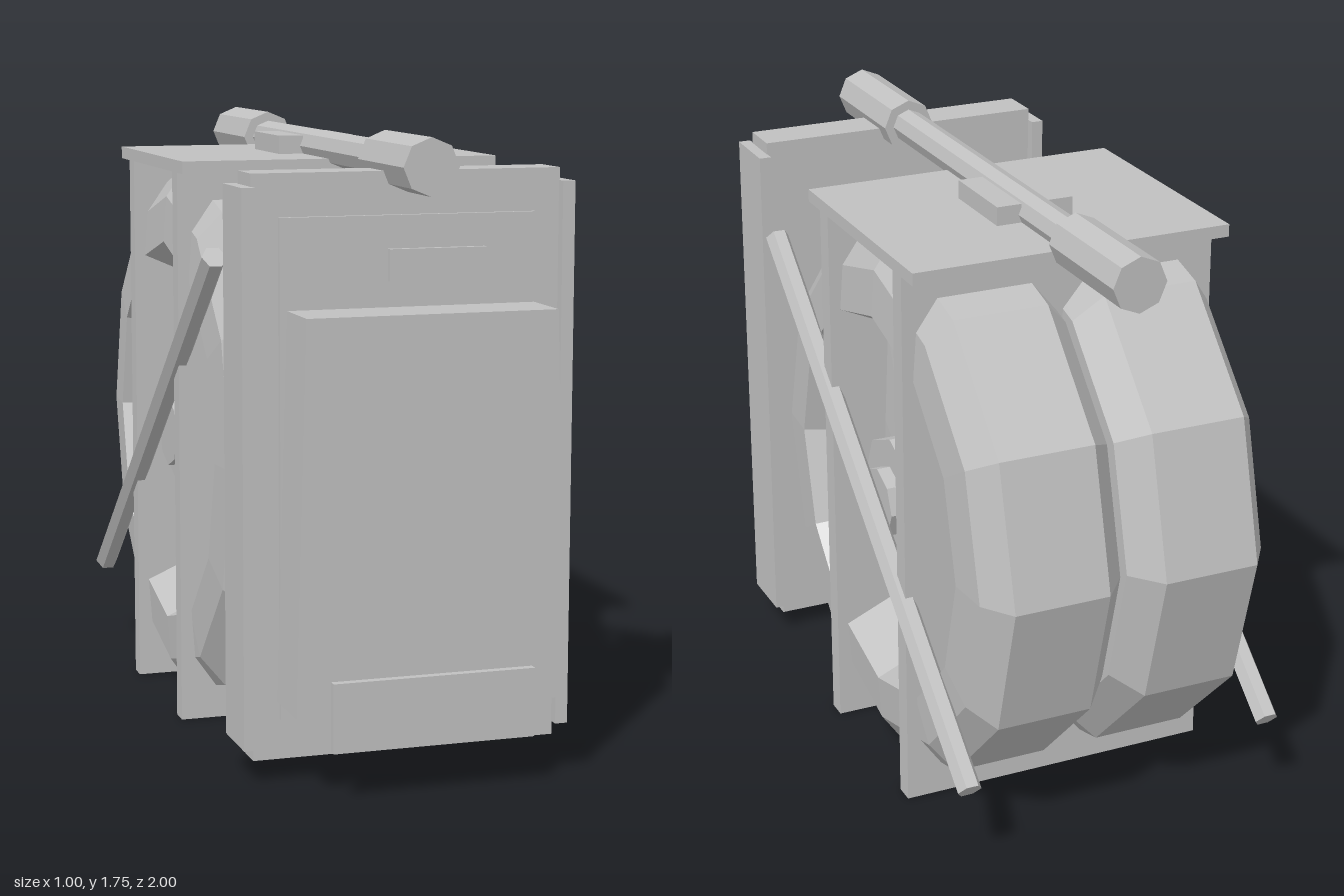
import * as THREE from 'three';

export function createModel() {
  const model = new THREE.Group();
  const grey = new THREE.MeshStandardMaterial({ color: 0xc0c0c0, flatShading: true });
  grey.name = 'grey';

  const add = (name, geometry) => {
    const mesh = new THREE.Mesh(geometry, grey);
    mesh.name = name;
    model.add(mesh);
    return mesh;
  };
  // Box given by its limits on each axis
  const box = (name, x0, x1, y0, y1, z0, z1) => {
    const mesh = add(name, new THREE.BoxGeometry(x1 - x0, y1 - y0, z1 - z0));
    mesh.position.set((x0 + x1) / 2, (y0 + y1) / 2, (z0 + z1) / 2);
    return mesh;
  };
  // Bar along z, centred on the carrying handle
  const bar = (name, radius, z0, z1) => {
    const mesh = add(name, new THREE.CylinderGeometry(radius, radius, z1 - z0, 8));
    mesh.rotation.x = Math.PI / 2;
    mesh.position.set(0, 1.677, (z0 + z1) / 2);
  };

  // Twin chamfered wheels with dished discs, as profiles of radius and x
  const wheelProfile = [
    [0, 0.01], [0.71, 0.01], [0.8, 0.085], [0.8, 0.365], [0.71, 0.428],
    [0.575, 0.438], [0.51, 0.29], [0, 0.32],
  ].map(([r, x]) => new THREE.Vector2(r, x));
  const hubProfile = [
    [0, 0.27], [0.19, 0.27], [0.19, 0.39], [0.105, 0.39], [0.105, 0.43], [0, 0.43],
  ].map(([r, x]) => new THREE.Vector2(r, x));

  for (const s of [1, -1]) {
    const side = s > 0 ? 'left' : 'right';
    for (const [name, profile, sides] of [['Wheel', wheelProfile, 12], ['Hub', hubProfile, 8]]) {
      const mesh = add(side + name, new THREE.LatheGeometry(profile, sides));
      mesh.rotation.z = -s * Math.PI / 2;
      mesh.position.set(0, 0.817, -0.2);
    }

    // Slanted hexagonal side rod
    const from = new THREE.Vector3(s * 0.465, 0.267, -0.925);
    const to = new THREE.Vector3(s * 0.465, 1.412, 0.485);
    const rodShape = new THREE.CylinderGeometry(0.035, 0.035, from.distanceTo(to), 6);
    rodShape.rotateY(Math.PI / 2);
    const rod = add(side + 'Rod', rodShape);
    rod.position.copy(from).add(to).multiplyScalar(0.5);
    rod.rotation.x = Math.atan2(to.z - from.z, to.y - from.y);

    // Edge rail of the front panel
    const rail = box(side + 'PanelRail', -0.018, 0.018, 0.1, 1.622, 0.6, 0.787);
    rail.position.x = s * 0.453;

    // Handle clamp
    const clamp = box(side + 'HandleClamp', -0.037, 0.037, 1.65, 1.708, -0.335, -0.073);
    clamp.position.x = s * 0.078;
  }

  // Solid frame plates across the wheels, and the top plate
  for (const z of [0.07, -0.467]) box('bulkhead', -0.47, 0.47, 0, 1.625, z - 0.029, z + 0.029);
  box('topPlate', -0.474, 0.474, 1.618, 1.654, -0.585, 0.178);

  // Carrying handle with two thick grips
  bar('handleBar', 0.05, -0.6, 0.58);
  bar('frontGrip', 0.078, 0.563, 0.943);
  bar('backGrip', 0.078, -0.963, -0.585);

  // Front panel
  box('panelCore', -0.437, 0.437, 0.062, 1.657, 0.63, 0.757);
  box('panelFace', -0.363, 0.363, 0.175, 1.54, 0.75, 0.773);

  // Pocket that widens towards the bottom
  const pocketShape = new THREE.BoxGeometry(2, 1.062, 0.18);
  const p = pocketShape.attributes.position;
  for (let i = 0; i < p.count; i++) {
    const top = p.getY(i) > 0;
    p.setX(i, p.getX(i) * (top ? 0.35 : 0.38));
    if (top && p.getZ(i) > 0) p.setZ(i, 0.085);
  }
  add('pocket', pocketShape).position.set(0, 0.765, 0.887);

  // Small plates at the front
  box('upperPlate', -0.133, 0.133, 1.388, 1.472, 0.982, 1);
  box('lowerPlate', -0.285, 0.285, 0.137, 0.328, 0.975, 1);

  return model;
}
